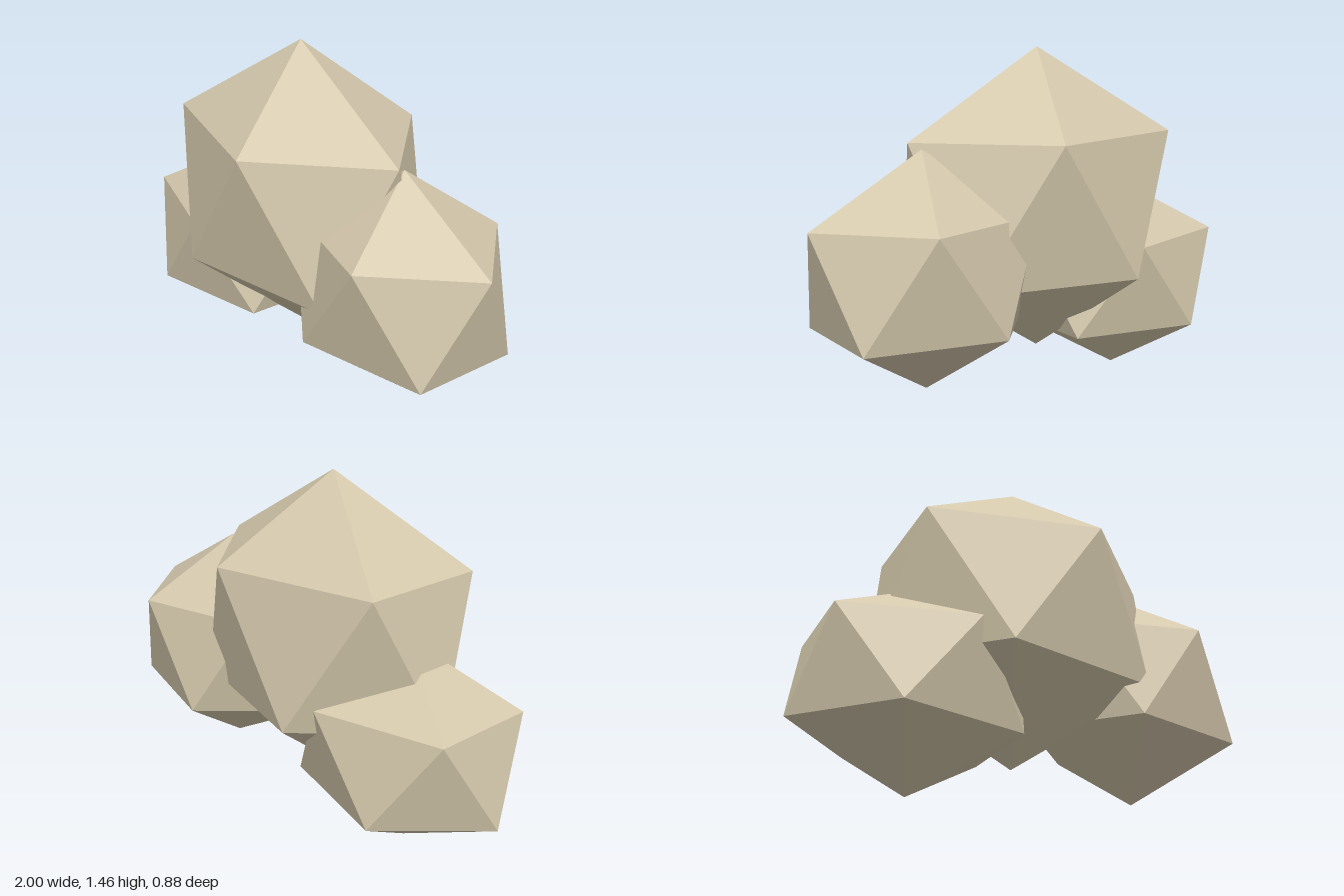
import * as THREE from 'three';

// Faceted boulder: an icosahedron standing on a corner, with an upper-ring corner toward +x
function makeRock(name, center, radii, material) {
  const golden = (1 + Math.sqrt(5)) / 2;
  const geometry = new THREE.IcosahedronGeometry(1, 0);
  geometry.rotateZ(-Math.atan(1 / golden));
  geometry.scale(...radii);
  geometry.computeVertexNormals();
  const rock = new THREE.Mesh(geometry, material);
  rock.name = name;
  rock.position.set(...center);
  return rock;
}

export function createModel() {
  const stone = new THREE.MeshStandardMaterial({ color: 0xd3c7ab });
  stone.name = 'sandstone';
  stone.flatShading = true;

  const group = new THREE.Group();
  group.name = 'rockCluster';
  group.add(
    // Tall boulder in the middle
    makeRock('largeRock', [-0.08, 0.817, 0], [0.7, 0.648, 0.518], stone),
    // Low boulder at -x
    makeRock('rightRock', [-0.52, 0.437, 0], [0.537, 0.437, 0.432], stone),
    // Raised boulder at +x, set slightly back
    makeRock('leftRock', [0.515, 0.6, -0.055], [0.542, 0.485, 0.432], stone),
  );
  return group;
}
